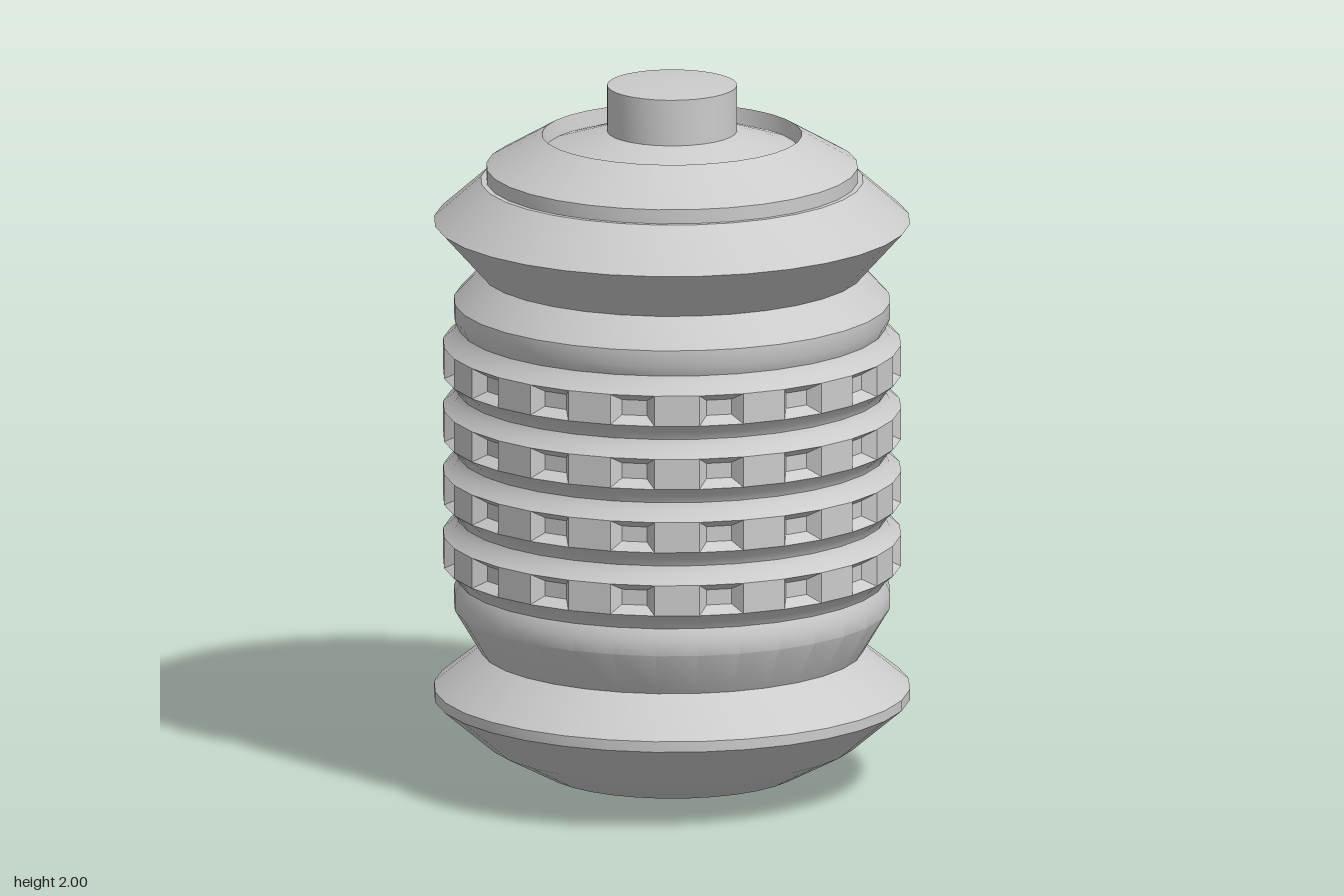
import * as THREE from 'three';
import { toCreasedNormals } from 'three/addons/utils/BufferGeometryUtils.js';

const SIDES = 32;
const BAND_R = 0.635, BAND_H = 0.043;
const BANDS = [0.67, 0.85, 1.03, 1.21];

const material = new THREE.MeshStandardMaterial({ color: 0xcccccc, side: THREE.DoubleSide });

// Turned part from [radius, height] pairs listed bottom to top
function turned(name, profile) {
  const points = profile.map(([r, y]) => new THREE.Vector2(r, y));
  const mesh = new THREE.Mesh(toCreasedNormals(new THREE.LatheGeometry(points, SIDES), 0.55), material);
  mesh.name = name;
  return mesh;
}

// Faceted ring whose every second face is pressed in as a tapered pocket
function knurledBand(y) {
  const positions = [];
  const at = (a, r, h) => [r * Math.sin(a), h, r * Math.cos(a)];
  const quad = (a, b, c, d) => positions.push(...a, ...b, ...c, ...a, ...c, ...d);
  const corners = (a0, a1, r, h) => [at(a0, r, y - h), at(a1, r, y - h), at(a1, r, y + h), at(a0, r, y + h)];
  const step = (Math.PI * 2) / SIDES;
  for (let i = 0; i < SIDES; i++) {
    const a0 = i * step, a1 = a0 + step;
    const outer = corners(a0, a1, BAND_R, BAND_H);
    if (i % 2 === 0) {
      quad(...outer);
      continue;
    }
    const inner = corners(a0 + step * 0.2, a1 - step * 0.2, BAND_R - 0.035, BAND_H * 0.5);
    quad(...inner);
    for (let k = 0; k < 4; k++) {
      const n = (k + 1) % 4;
      quad(outer[k], outer[n], inner[n], inner[k]);
    }
  }
  const geometry = new THREE.BufferGeometry();
  geometry.setAttribute('position', new THREE.Float32BufferAttribute(positions, 3));
  geometry.computeVertexNormals();
  const mesh = new THREE.Mesh(geometry, material);
  mesh.name = 'knurledBand';
  return mesh;
}

export function createModel() {
  const model = new THREE.Group();
  model.name = 'ribbedCanister';

  // Base with a recessed underside and a low contact in the middle
  model.add(turned('baseContact', [[0, 0], [0.18, 0.017], [0.195, 0.036]]));
  model.add(turned('base', [
    [0.195, 0.036], [0.352, 0.08], [0.36, 0.04], [0.515, 0.122], [0.525, 0.13],
    [0.66, 0.245], [0.66, 0.275], [0.53, 0.38],
  ]));

  // Grip: flared collars at both ends, grooves between the knurled bands
  const grip = new THREE.Group();
  grip.name = 'grip';
  const first = BANDS[0] - BAND_H, last = BANDS[3] + BAND_H;
  grip.add(turned('lowerCollar', [
    [0.53, 0.38], [0.605, 0.505], [0.605, 0.55], [0.592, 0.58], [0.604, 0.6], [BAND_R, first],
  ]));
  grip.add(turned('upperCollar', [
    [BAND_R, last], [0.604, 1.28], [0.592, 1.3], [0.605, 1.33], [0.605, 1.375], [0.53, 1.455],
  ]));
  BANDS.forEach((y, i) => {
    grip.add(knurledBand(y));
    if (i === BANDS.length - 1) return;
    const mid = (y + BANDS[i + 1]) / 2;
    grip.add(turned('groove', [
      [BAND_R, y + BAND_H], [0.604, mid - 0.02], [0.595, mid], [0.604, mid + 0.02], [BAND_R, BANDS[i + 1] - BAND_H],
    ]));
  });
  model.add(grip);

  // Flared rim, stepped lid and its recessed top
  model.add(turned('lid', [
    [0.53, 1.455], [0.66, 1.6], [0.53, 1.715], [0.515, 1.715], [0.515, 1.755],
    [0.36, 1.845], [0.352, 1.8], [0.205, 1.848], [0.18, 1.855],
  ]));

  // Slightly domed button
  model.add(turned('button', [[0.18, 1.85], [0.18, 1.985], [0, 2]]));
  return model;
}
